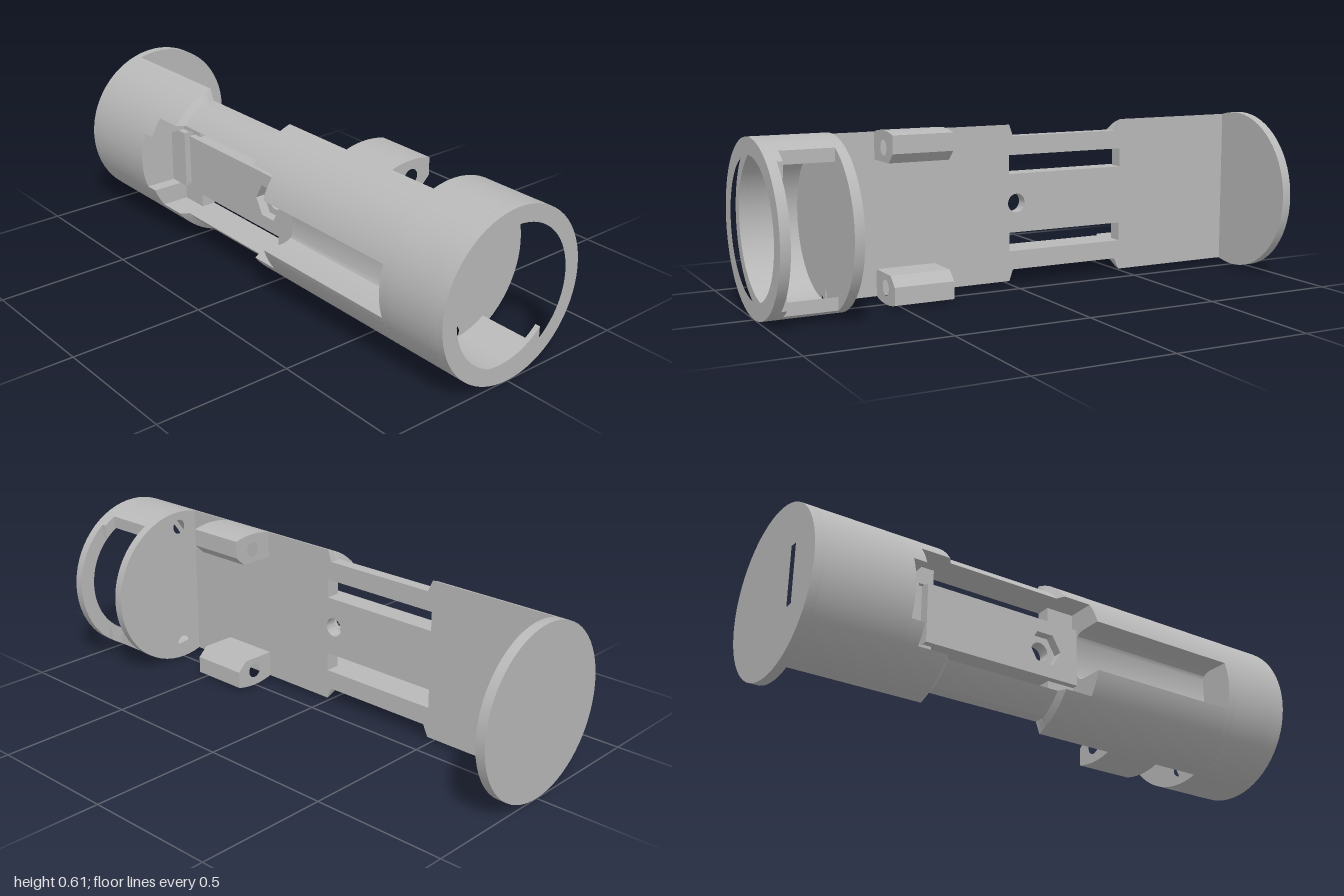
import * as THREE from 'three';
import { toCreasedNormals } from 'three/addons/utils/BufferGeometryUtils.js';

const R = 0.305;      // outer radius, also the height of the axis
const BACK = 0.085;   // flat back plane of the half-round body
const FLOOR = 0.165;  // front of the central plate
const NECK_R = 0.282, NECK_H = 0.25;

export function createModel() {
  const model = new THREE.Group();
  model.name = 'cylindricalHolder';
  const grey = new THREE.MeshStandardMaterial({ color: 0xb8b8b8 });
  grey.name = 'lightGrey';

  const add = (name, geo) => {
    const mesh = new THREE.Mesh(toCreasedNormals(geo, 0.5), grey);
    mesh.name = name;
    model.add(mesh);
    return mesh;
  };

  // Cross-sections are lists of [z, Y], Y measured from the axis
  const toPts = (pts) => pts.map(([z, y]) => new THREE.Vector2(-z, y));
  const arc = (r, a0, a1, n = 32) => Array.from({ length: n + 1 }, (_, i) => {
    const a = a0 + (a1 - a0) * i / n;
    return [r * Math.cos(a), r * Math.sin(a)];
  });
  const circle = (r, z = 0, y = 0, n = 64) =>
    arc(r, 0, Math.PI * 2, n).slice(0, n).map((p) => [p[0] + z, p[1] + y]);
  const rect = (z0, z1, y0, y1) => [[z0, y0], [z1, y0], [z1, y1], [z0, y1]];
  const flip = (pts) => pts.map(([z, y]) => [z, -y]).reverse();

  // Extrude a cross-section along x
  const section = (x0, x1, outline, holes = []) => {
    const shape = new THREE.Shape(toPts(outline));
    holes.forEach((h) => shape.holes.push(new THREE.Path(toPts(h))));
    const g = new THREE.ExtrudeGeometry(shape, { depth: x1 - x0, bevelEnabled: false });
    return g.rotateY(Math.PI / 2).translate(x0, R, 0);
  };

  // Half-round body with a front recess: notch runs from lip to centre, upper half
  const top = Math.acos(BACK / R);
  const dShape = (notch) => {
    if (!notch) return arc(R, -top, top, 48);
    const upper = [...notch.slice().reverse(), ...arc(R, Math.asin(notch[0][1] / R), top, 20)];
    return [...flip(upper), ...upper];
  };

  // Rear end disc and strap tunnel
  const tunnel = [rect(0.125, 0.157, -0.11, 0.11)];
  const narrow = [[FLOOR, 0.11]];
  const wide = [[0.14, 0.18], [0.14, 0.11], [FLOOR, 0.11]];
  const slot = [[0.14, 0.18], [0.14, 0.115], [0.125, 0.115]];
  const channel = [[0.205, 0.095], [0.185, 0.091], [0.172, 0.083], [FLOOR, 0.07]];
  add('endDisc', section(-1, -0.965, circle(R), tunnel));
  add('rearBody', section(-0.965, -0.64, dShape(), tunnel));
  add('rearNotch', section(-0.64, -0.59, dShape(narrow), tunnel));
  add('rearPocket', section(-0.59, -0.55, dShape(wide), tunnel));
  add('strapSlot', section(-0.55, -0.515, dShape(slot)));
  add('pocketEdge', section(-0.515, -0.48, dShape(wide)));
  add('channelBody', section(0.11, 0.72, dShape(channel)));

  // Rails, tapered collars and pocket shoulders, mirrored above and below
  const railShape = [[BACK, 0.18], ...arc(NECK_R, Math.asin(0.18 / NECK_R), Math.asin(NECK_H / NECK_R), 10),
    [BACK, NECK_H]];
  const collarShape = [[BACK, 0.18], ...arc(R, Math.asin(0.18 / R), top, 20)];
  const shoulderShape = [[BACK, 0.11], [0.14, 0.11], [0.14, 0.18], ...arc(R, Math.asin(0.18 / R), top, 20)];
  const collar = (x0, x1, neckX, outline) => {
    const g = section(x0, x1, outline), p = g.attributes.position;
    for (let i = 0; i < p.count; i++) {
      if (Math.abs(p.getX(i) - neckX) > 1e-4) continue;
      // Shrink the neck end to the rail outline
      const y = THREE.MathUtils.clamp(p.getY(i) - R, -NECK_H, NECK_H);
      const z = Math.min(p.getZ(i), Math.sqrt(NECK_R * NECK_R - y * y));
      p.setXYZ(i, neckX, y + R, z);
    }
    return g;
  };
  for (const [side, m] of [['upper', (s) => s], ['lower', flip]]) {
    add(side + 'Rail', section(-0.48, 0, m(railShape)));
    add(side + 'RearCollar', collar(-0.48, -0.46, -0.46, m(collarShape)));
    add(side + 'FrontCollar', collar(-0.015, 0, -0.015, m(collarShape)));
    add(side + 'Shoulder', section(0, 0.11, m(shoulderShape)));
  }

  // Central plate with a round hole behind a hexagonal nut recess
  const plate = (name, z0, z1, holeR, sides) => {
    const shape = new THREE.Shape(rect(-0.48, 0.11, -0.11, 0.11).map((p) => new THREE.Vector2(...p)));
    const hole = circle(holeR, -0.03, 0, sides).map((p) => new THREE.Vector2(...p));
    shape.holes.push(new THREE.Path(hole));
    const g = new THREE.ExtrudeGeometry(shape, { depth: z1 - z0, bevelEnabled: false });
    add(name, g.translate(0, R, z0));
  };
  plate('plateBack', BACK, 0.13, 0.035, 32);
  plate('plateFront', 0.13, FLOOR, 0.067, 6);

  // Screw bosses on the back
  const bossOut = arc(R, Math.acos(BACK / R), Math.acos(-0.082 / R), 12);
  const boss = [...bossOut, [-0.082, 0.23], [-0.045, 0.195], [BACK, 0.195]];
  const screw = circle(0.028, 0, 0.245, 24);
  add('upperBoss', section(0.305, 0.53, boss, [screw]));
  add('lowerBoss', section(0.305, 0.53, flip(boss), [flip(screw)]));

  // Front cup: wall, open-backed shell and end ring
  const shell = (cut) => {
    const a = Math.acos(cut / R), ri = 0.265, b = Math.acos(cut / ri);
    return [...arc(R, -a, a, 64), ...arc(ri, b, -b, 64)];
  };
  add('cupWall', section(0.72, 0.755, circle(R), [screw, flip(screw)]));
  add('cupShell', section(0.755, 0.945, shell(-0.14)));
  add('cupStep', section(0.945, 0.965, shell(-0.185)));
  add('endRing', section(0.965, 1, circle(R), [circle(0.245)]));

  return model;
}
